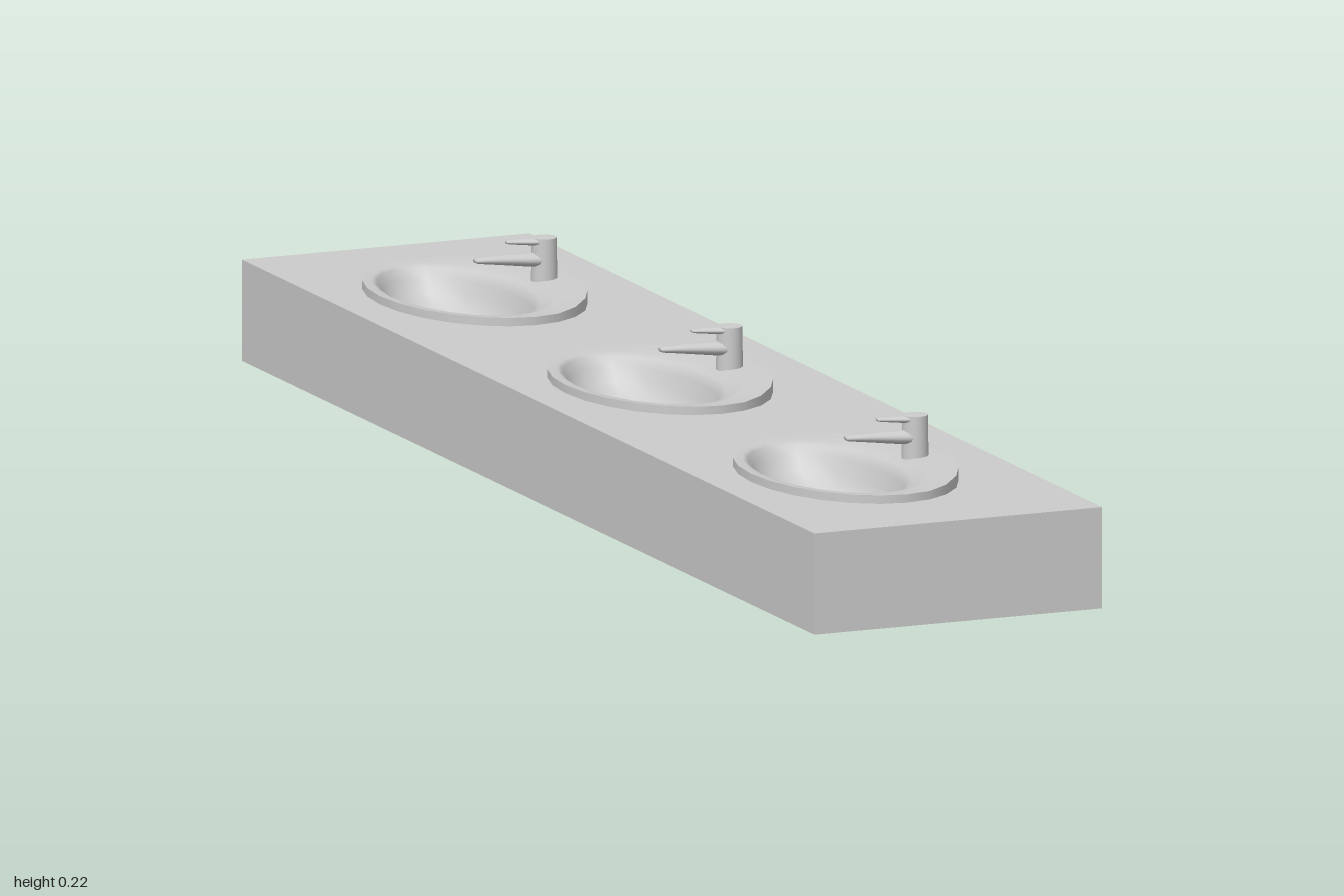
import * as THREE from 'three';

const material = new THREE.MeshStandardMaterial({ color: 0xcccccc, side: THREE.DoubleSide });
const TOP = 0.145, HALF_W = 0.22, SINK_X = -0.018, RX = 0.145, RZ = 0.215;
const SINK_Z = [-0.648, 0, 0.648];

function add(group, name, geometry) {
  const mesh = new THREE.Mesh(geometry, material);
  mesh.name = name;
  group.add(mesh);
  return mesh;
}

// Smooth surface through rings of points; point(ring, angle) gives [x, y, z]
function loft(rings, sides, point) {
  const pos = [], index = [];
  rings.forEach((ring, r) => {
    for (let i = 0; i < sides; i++) {
      pos.push(...point(ring, (i / sides) * Math.PI * 2));
      if (r === 0) continue;
      const a = (r - 1) * sides + i, b = (r - 1) * sides + ((i + 1) % sides);
      index.push(a, a + sides, b, b, a + sides, b + sides);
    }
  });
  const g = new THREE.BufferGeometry();
  g.setAttribute('position', new THREE.Float32BufferAttribute(pos, 3));
  g.setIndex(index);
  g.computeVertexNormals();
  return g;
}

// The rim rises gently under the tap
const rise = (x) => 0.007 * THREE.MathUtils.smoothstep(x, 0.02, 0.115);

// Ring: [centre x, radius x, radius z, y]
function basinPoint([cx, rx, rz, y], a) {
  const x = cx + rx * Math.cos(a);
  return [x, y + (y > 0.14 ? rise(x) : 0), -rz * Math.sin(a)];
}

// Tapered arm along x; ring: [x, centre y, radius y, radius z]
function armPoint([x, cy, ry, rz], a) {
  return [x, cy + ry * Math.sin(a), rz * Math.cos(a)];
}

function createSink() {
  const sink = new THREE.Group();
  sink.name = 'sink';

  // Outer skirt, open below
  add(sink, 'skirt', loft([
    [SINK_X, RX, RZ, 0.07],
    [SINK_X, RX, RZ, 0.157],
  ], 24, basinPoint));

  // Rim rolling over into the bowl
  add(sink, 'basin', loft([
    [SINK_X, RX, RZ, 0.157],
    [-0.034, 0.115, 0.188, 0.156],
    [-0.043, 0.098, 0.178, 0.152],
    [-0.044, 0.091, 0.17, 0.138],
    [-0.042, 0.083, 0.157, 0.118],
    [-0.039, 0.07, 0.135, 0.1],
    [-0.036, 0.05, 0.1, 0.086],
    [-0.034, 0.025, 0.05, 0.08],
    [-0.034, 0, 0, 0.078],
  ], 24, basinPoint));

  const tap = new THREE.Group();
  tap.name = 'tap';
  sink.add(tap);

  // Column with its flat cap
  const column = add(tap, 'tapColumn', new THREE.CylinderGeometry(0.018, 0.019, 0.062, 20));
  column.position.set(0.088, 0.189, 0);

  // Spout and lever, thinning towards -x
  add(tap, 'spout', loft([
    [0.09, 0.188, 0.011, 0.017],
    [0.06, 0.19, 0.0095, 0.014],
    [0.02, 0.193, 0.007, 0.011],
    [-0.014, 0.195, 0.0045, 0.009],
    [-0.018, 0.195, 0.003, 0.007],
    [-0.018, 0.195, 0, 0],
  ], 16, armPoint));
  add(tap, 'lever', loft([
    [0.09, 0.2145, 0.006, 0.016],
    [0.065, 0.2155, 0.005, 0.011],
    [0.034, 0.2175, 0.0032, 0.007],
    [0.03, 0.2175, 0.002, 0.005],
    [0.03, 0.2175, 0, 0],
  ], 16, armPoint));
  return sink;
}

export function createModel() {
  const model = new THREE.Group();
  model.name = 'washbasinCounter';

  // Thin worktop with an oval cut-out per sink
  const shape = new THREE.Shape();
  shape.moveTo(-HALF_W, -1).lineTo(HALF_W, -1).lineTo(HALF_W, 1).lineTo(-HALF_W, 1).closePath();
  for (const z of SINK_Z) {
    const hole = new THREE.Path();
    hole.absellipse(SINK_X, z, RX - 0.002, RZ - 0.002, 0, Math.PI * 2, true);
    shape.holes.push(hole);
  }
  const worktop = add(model, 'worktop', new THREE.ShapeGeometry(shape, 24));
  worktop.rotation.x = -Math.PI / 2;
  worktop.position.y = TOP;

  // End panels and the long apron; the +x side stays open
  for (const s of [1, -1]) {
    const end = add(model, 'endPanel', new THREE.PlaneGeometry(HALF_W * 2, TOP));
    end.position.set(0, TOP / 2, s);
    if (s < 0) end.rotation.y = Math.PI;
  }
  const apron = add(model, 'apron', new THREE.PlaneGeometry(2, TOP));
  apron.rotation.y = -Math.PI / 2;
  apron.position.set(-HALF_W, TOP / 2, 0);

  for (const z of SINK_Z) {
    const sink = createSink();
    sink.position.z = z;
    model.add(sink);
  }
  return model;
}
